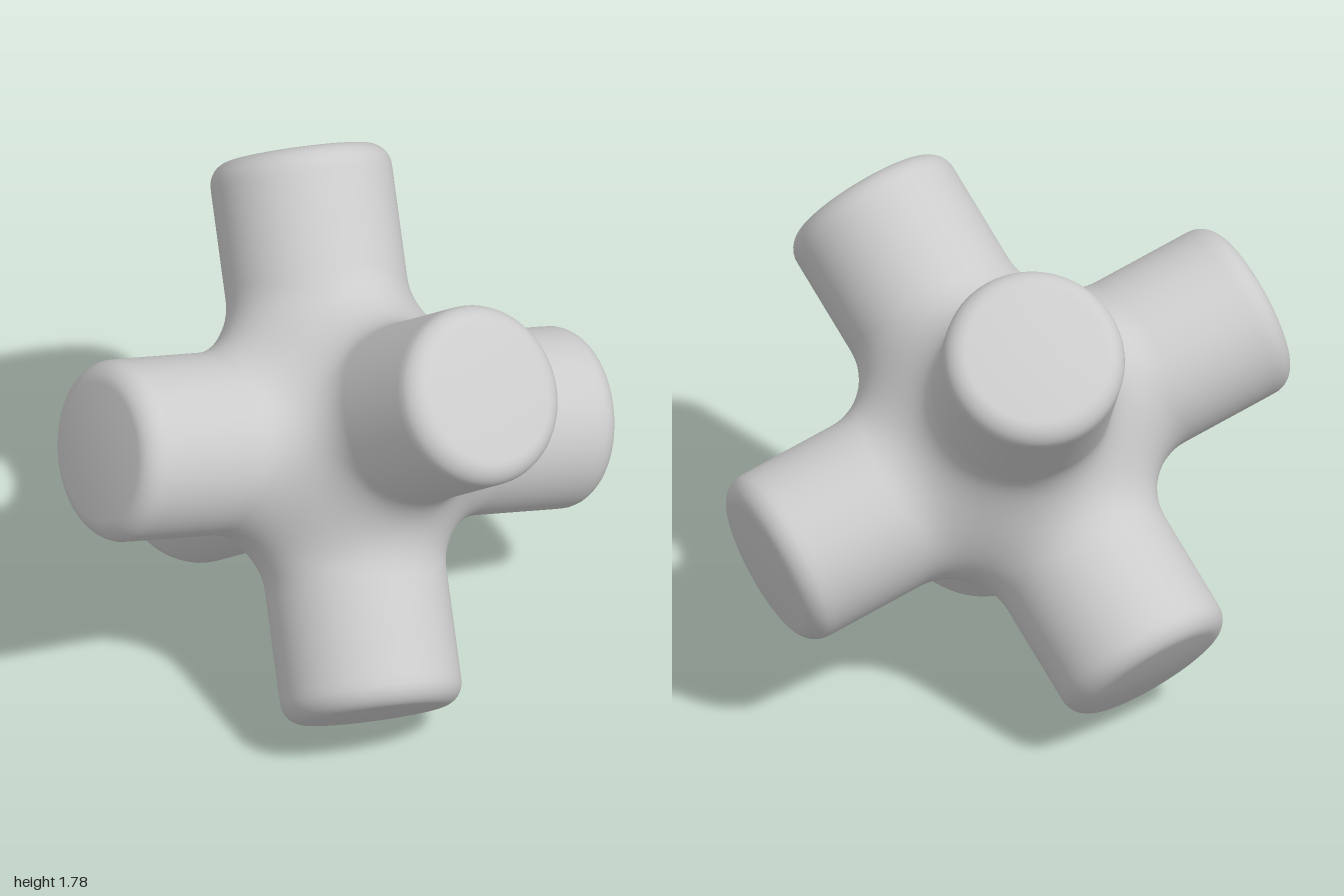
import * as THREE from 'three';
import { mergeGeometries, mergeVertices } from 'three/addons/utils/BufferGeometryUtils.js';

const R = 0.31;       // arm radius
const L = 0.975;      // arm length from the centre
const EDGE = 0.07;    // rounding of the end rims
const FILLET = 0.22;  // rounding of the inner corners
const DOME = 0.2;     // slight bulge of the end caps

// distance to a round bar through the centre (radial offset, offset along the bar)
function bar(radial, along) {
  const a = radial - (R - EDGE);
  const b = Math.abs(along) + DOME * radial * radial - (L - EDGE);
  return Math.min(Math.max(a, b), 0) + Math.hypot(Math.max(a, 0), Math.max(b, 0)) - EDGE;
}

// three crossing bars joined with a round fillet
function field(x, y, z) {
  const d = [bar(Math.hypot(y, z), x), bar(Math.hypot(x, z), y), bar(Math.hypot(x, y), z)];
  const fill = Math.hypot(...d.map((v) => Math.max(FILLET - v, 0)));
  return Math.max(FILLET, Math.min(...d)) - fill;
}

// surface point in a given direction from the centre
function project(dir) {
  let lo = 0.1, hi = 1.3;
  for (let i = 0; i < 32; i++) {
    const m = (lo + hi) / 2;
    if (field(dir.x * m, dir.y * m, dir.z * m) < 0) lo = m;
    else hi = m;
  }
  return dir.multiplyScalar(lo);
}

function normalAt({ x, y, z }) {
  const e = 0.002;
  return new THREE.Vector3(
    field(x + e, y, z) - field(x - e, y, z),
    field(x, y + e, z) - field(x, y - e, z),
    field(x, y, z + e) - field(x, y, z - e)
  ).normalize();
}

// one arm along +z, ending where it meets its four neighbours
function armGeometry() {
  const around = 64, cap = 4, rim = 12, side = 24;
  const rows = cap + rim + side;
  const pos = [], nor = [], index = [];
  for (let i = 0; i <= rows; i++) {
    for (let j = 0; j <= around; j++) {
      const phi = ((j % around) / around) * Math.PI * 2;
      const c = Math.cos(phi), s = Math.sin(phi);
      const limit = Math.max(Math.abs(c), Math.abs(s));
      let t; // slope of the ray away from the arm axis
      if (i <= cap) t = (0.22 * i) / cap;
      else if (i <= cap + rim) t = 0.22 + (0.15 * (i - cap)) / rim;
      else t = 1 / THREE.MathUtils.lerp(1 / 0.37, limit, (i - cap - rim) / side);
      const p = project(new THREE.Vector3(c * t, s * t, 1).normalize());
      pos.push(p.x, p.y, p.z);
      nor.push(...normalAt(p).toArray());
      if (i < rows && j < around) {
        const a = i * (around + 1) + j, b = a + around + 1;
        index.push(a, b, b + 1);
        if (i > 0) index.push(a, b + 1, a + 1);
      }
    }
  }
  const g = new THREE.BufferGeometry();
  g.setAttribute('position', new THREE.Float32BufferAttribute(pos, 3));
  g.setAttribute('normal', new THREE.Float32BufferAttribute(nor, 3));
  g.setIndex(index);
  return g;
}

export function createModel() {
  const group = new THREE.Group();
  group.name = 'sixArmJunction';

  // six copies of the arm, one per half axis
  const arm = armGeometry();
  const q = Math.PI / 2;
  const turns = [[0, 0], [q, 0], [-q, 0], [2 * q, 0], [0, q], [0, -q]];
  const arms = turns.map(([rx, ry]) => arm.clone().rotateX(rx).rotateY(ry));
  const geometry = mergeVertices(mergeGeometries(arms), 1e-4);

  const body = new THREE.Mesh(geometry, new THREE.MeshStandardMaterial({ color: 0xcccccc }));
  body.name = 'junctionBody';

  // tilt: upper front arm, lower front arm, left arm
  const upper = new THREE.Vector3(0.215, 0.61, 0.763).normalize();
  const left = upper.clone().cross(new THREE.Vector3(-0.18, -0.739, 0.649)).normalize();
  const lower = left.clone().cross(upper);
  body.quaternion.setFromRotationMatrix(new THREE.Matrix4().makeBasis(upper, lower, left));
  body.position.y = 0.89;
  group.add(body);
  return group;
}
